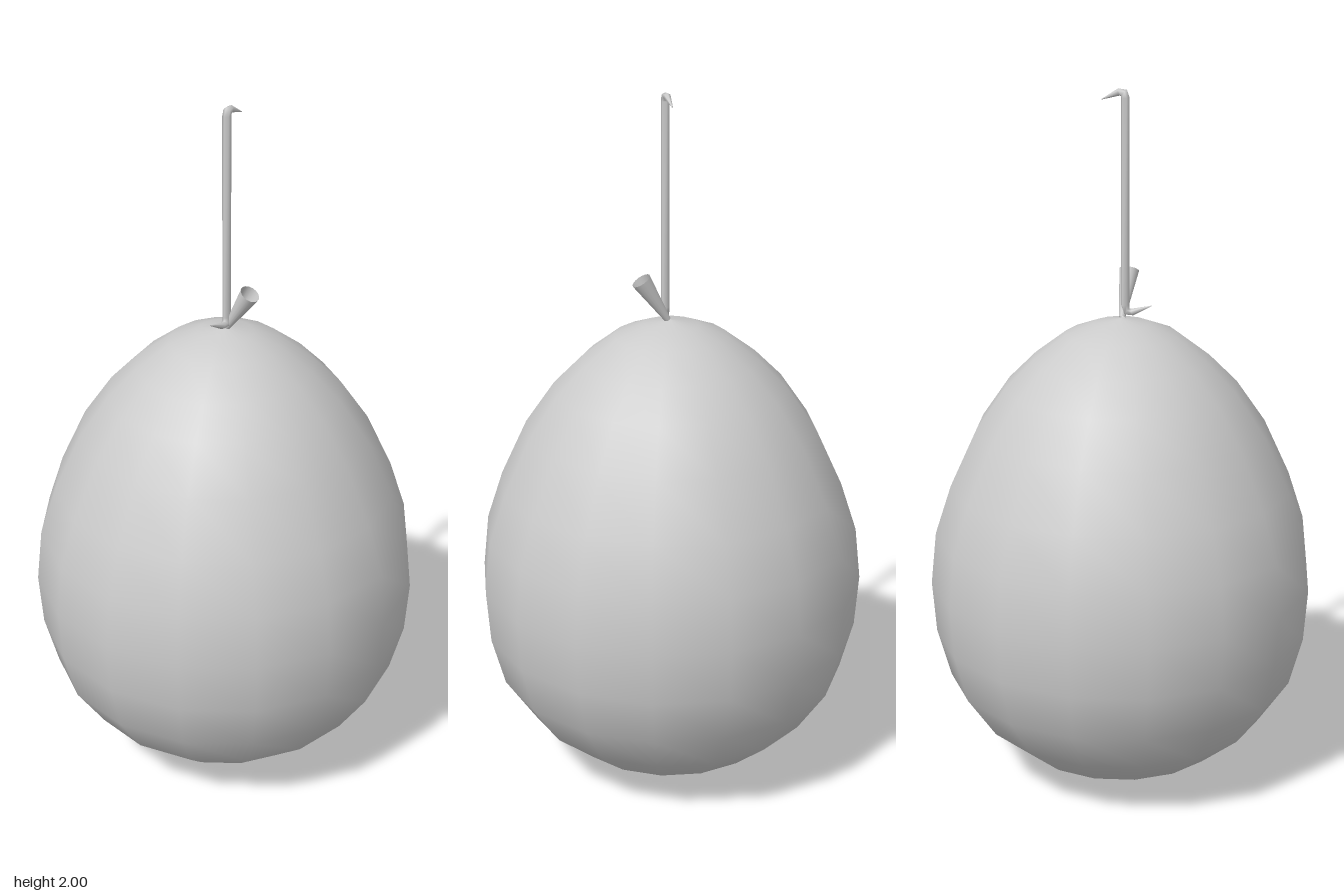
import * as THREE from 'three';

const material = () => new THREE.MeshStandardMaterial({ color: 0xcccccc, side: THREE.DoubleSide });

function addPart(group, name, geometry) {
  const mesh = new THREE.Mesh(geometry, material());
  mesh.name = name;
  group.add(mesh);
  return mesh;
}

// Loft of round rings along a path in the xy plane; station: [x, y, radius, heading in degrees]
function loft(stations, z, sides) {
  const positions = [], indices = [];
  for (const [x, y, r, heading] of stations) {
    const a = THREE.MathUtils.degToRad(heading);
    for (let j = 0; j < sides; j++) {
      const t = (j / sides) * Math.PI * 2;
      positions.push(x + r * Math.cos(t) * Math.sin(a), y - r * Math.cos(t) * Math.cos(a), z + r * Math.sin(t));
    }
  }
  for (let i = 0; i < stations.length - 1; i++) {
    for (let j = 0; j < sides; j++) {
      const k = (j + 1) % sides;
      const a = i * sides + j, b = a + sides, c = i * sides + k, d = c + sides;
      indices.push(a, b, c, b, d, c);
    }
  }
  const geometry = new THREE.BufferGeometry();
  geometry.setAttribute('position', new THREE.Float32BufferAttribute(positions, 3));
  geometry.setIndex(indices);
  geometry.computeVertexNormals();
  return geometry;
}

export function createModel() {
  const group = new THREE.Group();
  group.name = 'balloon';

  // Egg-shaped body, widest below the middle
  const profile = [
    [0, 0], [0.15, 0.025], [0.295, 0.085], [0.415, 0.185], [0.5, 0.31],
    [0.538, 0.45], [0.549, 0.6], [0.533, 0.75], [0.487, 0.89], [0.413, 1.05],
    [0.33, 1.17], [0.25, 1.25], [0.158, 1.32], [0.08, 1.35], [0, 1.365],
  ].map(([r, y]) => new THREE.Vector2(r, y));
  addPart(group, 'body', new THREE.LatheGeometry(profile, 16));

  // Open flared neck leaning forward from the knot
  const base = new THREE.Vector3(0, 1.365, 0.008);
  const mouth = new THREE.Vector3(0, 1.483, 0.084);
  const axis = mouth.clone().sub(base);
  const neck = addPart(group, 'neck', new THREE.CylinderGeometry(0.028, 0.009, axis.length(), 16, 1, true));
  neck.position.copy(base).add(mouth).multiplyScalar(0.5);
  neck.quaternion.setFromUnitVectors(new THREE.Vector3(0, 1, 0), axis.normalize());

  // String with a pointed tail at the knot and a hooked tip
  addPart(group, 'string', loft([
    [-0.083, 1.401, 0.001, -25],
    [-0.028, 1.38, 0.01, -20],
    [-0.012, 1.381, 0.012, 40],
    [-0.008, 1.4, 0.012, 90],
    [-0.008, 1.972, 0.012, 90],
    [-0.004, 1.985, 0.012, 45],
    [0.01, 1.987, 0.01, -12],
    [0.058, 1.966, 0.001, -25],
  ], 0.012, 6));

  return group;
}
